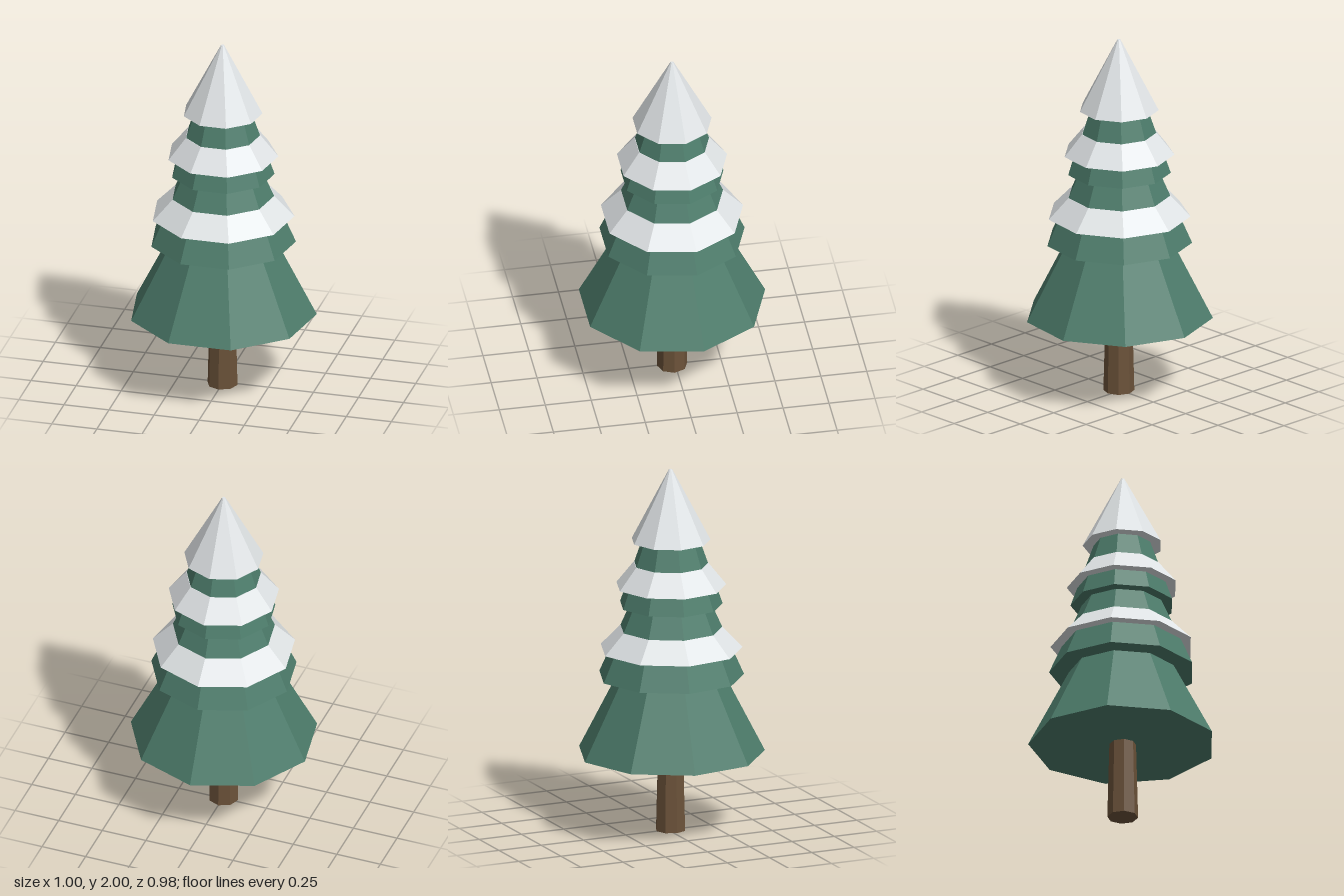
import * as THREE from 'three';

const CENTRE_Z = 0.0155;

function flatMaterial(name, color) {
  const m = new THREE.MeshStandardMaterial({ color, flatShading: true });
  m.name = name;
  return m;
}

export function createModel() {
  const tree = new THREE.Group();
  tree.name = 'snowyPineTree';

  const bark = flatMaterial('bark brown', 0x6b5239);
  const needles = flatMaterial('pine green', 0x4d7c6b);
  const snow = flatMaterial('snow white', 0xe0e4e6);

  // Closed, faceted frustum between two heights, with a corner at the given angle
  function frustum(name, material, y0, y1, r0, r1, sides, turn) {
    const geometry = new THREE.CylinderGeometry(r1, r0, y1 - y0, sides, 1, false, turn);
    const mesh = new THREE.Mesh(geometry, material);
    mesh.name = name;
    mesh.position.set(0, (y0 + y1) / 2, CENTRE_Z);
    tree.add(mesh);
  }

  // Eight-sided tapered trunk
  frustum('trunk', bark, 0, 0.5, 0.083, 0.07, 8, 0);

  // Nine-sided parts: name, material, bottom y, top y, bottom radius, top radius
  const layers = [
    ['lowerBranches', needles, 0.43, 0.95, 0.507, 0.24],
    ['middleBranches', needles, 0.855, 1.35, 0.395, 0.175],
    ['upperBranches', needles, 1.25, 1.68, 0.28, 0.13],
    ['lowerSnowBand', snow, 1.005, 1.12, 0.387, 0.277],
    ['upperSnowBand', snow, 1.355, 1.475, 0.3, 0.204],
    ['snowCap', snow, 1.605, 2.0, 0.215, 0.009],
  ];
  for (const layer of layers) frustum(...layer, 9, Math.PI);

  return tree;
}
